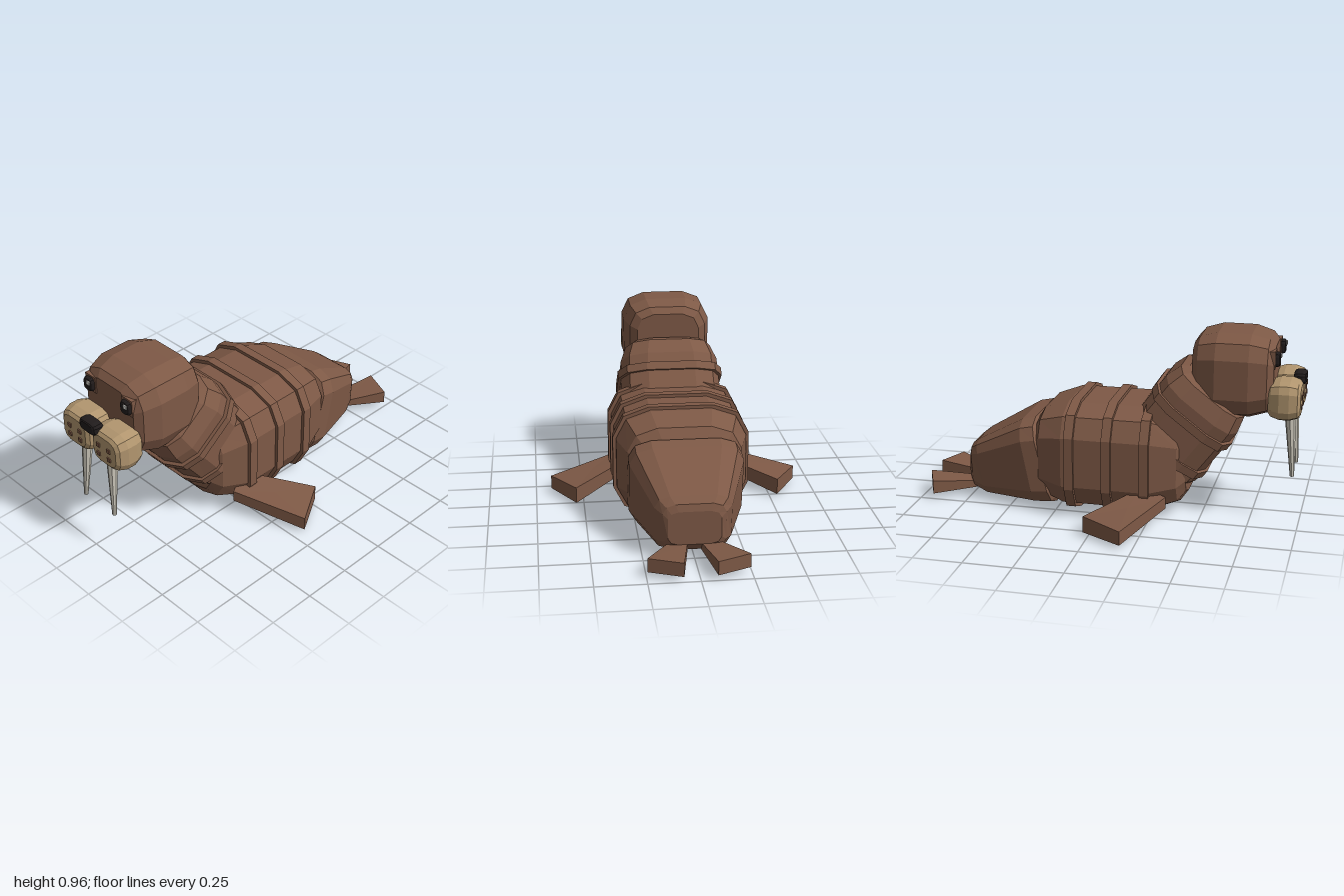
import * as THREE from 'three';

const mat = (name, color) => Object.assign(new THREE.MeshStandardMaterial({ color, flatShading: true }), { name });

// Triangle soup from closed rings running front to back, counterclockwise seen from the front
function skin(rings) {
  const pos = [];
  const tri = (...pts) => pts.forEach(p => pos.push(...p));
  const n = rings[0].length;
  const mid = r => [0, 1, 2].map(k => r.reduce((s, p) => s + p[k], 0) / n);
  const first = rings[0], last = rings[rings.length - 1];
  for (let i = 0; i < n; i++) {
    const j = (i + 1) % n;
    for (let k = 0; k < rings.length - 1; k++) {
      const a = rings[k], b = rings[k + 1];
      tri(a[i], b[i], a[j]);
      tri(a[j], b[i], b[j]);
    }
    tri(mid(first), first[i], first[j]);
    tri(mid(last), last[j], last[i]);
  }
  const g = new THREE.BufferGeometry();
  g.setAttribute('position', new THREE.Float32BufferAttribute(pos, 3));
  g.computeVertexNormals();
  return g;
}

// Bevelled rectangle sections: [z, centre y, half width, half height, lean]
function loft(sections, bevel = 0.53) {
  return skin(sections.map(([z, cy, w, h, lean = 0]) => {
    const ring = [];
    for (let q = 0; q < 4; q++) {
      for (const [u, v] of [[1, 1 - bevel], [1 - 0.3 * bevel, 1 - 0.3 * bevel], [1 - bevel, 1]]) {
        const [x, y] = [[u, v], [-v, u], [-u, -v], [v, -u]][q];
        ring.push([x * w, cy + y * h, z + lean * y * h]);
      }
    }
    return ring;
  }));
}

// Box rounded on every edge, d = half depth, e = end rounding
function pillow(w, h, d, e, bevel) {
  const s = [[d, 0.72], [d - e * 0.25, 0.88], [d - e, 1], [e - d, 1], [e * 0.25 - d, 0.88], [-d, 0.72]];
  return loft(s.map(([z, k]) => [z, 0, w * k, h * k]), bevel);
}

// Slab over four corners [x, z, bottom, top], mirrored by side
function slab(corners, side) {
  const c = side > 0 ? corners : [...corners].reverse();
  return skin([
    c.map(([x, z, , top]) => [x * side, top, z]),
    c.map(([x, z, low]) => [x * side, low, z]),
  ]);
}

export function createModel() {
  const root = new THREE.Group();
  root.name = 'walrus';
  const hide = mat('brown hide', 0x7e5946);
  const tan = mat('tan muzzle', 0xb2966f);
  const ivory = mat('ivory', 0xcfcabd);
  const black = mat('black', 0x211c1c);
  const white = mat('eye glint', 0xe8e6e0);

  const add = (name, geo, material, x = 0, y = 0, z = 0, parent = root) => {
    const m = new THREE.Mesh(geo, material);
    m.name = name;
    m.position.set(x, y, z);
    parent.add(m);
    return m;
  };

  // Trunk with three skin folds
  add('body', loft([
    [0.43, 0.295, 0.24, 0.17], [0.39, 0.295, 0.285, 0.225], [0.25, 0.295, 0.335, 0.275],
    [-0.2, 0.295, 0.335, 0.275], [-0.33, 0.295, 0.29, 0.23], [-0.37, 0.295, 0.24, 0.17],
  ]), hide);
  for (const z of [0.235, 0.04, -0.155]) {
    add('bodyFold', loft([[0.024, 0, 0.352, 0.292], [-0.024, 0, 0.352, 0.292]]), hide, 0, 0.295, z);
  }

  // Tapering hindquarters
  add('hindquarters', loft([
    [-0.29, 0.25, 0.25, 0.19, -0.24], [-0.32, 0.25, 0.288, 0.228, -0.24],
    [-0.4, 0.24, 0.288, 0.223, -0.2], [-0.68, 0.165, 0.19, 0.148, -0.2],
    [-0.74, 0.165, 0.155, 0.12, -0.05], [-0.757, 0.165, 0.13, 0.085],
  ], 0.4), hide);

  // Neck leaning up and forward, with two folds
  const neck = new THREE.Group();
  neck.name = 'neck';
  neck.position.set(0, 0.53, 0.44);
  neck.rotation.x = -0.92;
  root.add(neck);
  add('neckTrunk', loft([
    [0.19, 0, 0.2, 0.17], [0.165, 0, 0.235, 0.205], [0.08, 0, 0.265, 0.23],
    [-0.26, 0, 0.275, 0.23], [-0.34, 0, 0.24, 0.2],
  ]), hide, 0, 0, 0, neck);
  for (const z of [0, -0.2]) {
    add('neckFold', loft([[0.022, 0, 0.285, 0.245], [-0.022, 0, 0.285, 0.245]]), hide, 0, 0, z, neck);
  }

  // Head and nose
  add('head', pillow(0.235, 0.213, 0.204, 0.12), hide, 0, 0.755, 0.646);
  add('nose', pillow(0.062, 0.032, 0.031, 0.018), black, 0, 0.737, 0.969);

  for (const s of [1, -1]) {
    const side = s > 0 ? 'left' : 'right';

    // Muzzle pads, whisker spots and tusks
    add(side + 'MuzzlePad', pillow(0.113, 0.1, 0.08, 0.055), tan, s * 0.112, 0.652, 0.908);
    for (const x of [0.07, 0.145]) {
      for (const y of [0.67, 0.62]) {
        add(side + 'WhiskerSpot', new THREE.BoxGeometry(0.022, 0.022, 0.02), hide, s * x, y, 0.984);
      }
    }
    const tusk = add(side + 'Tusk', new THREE.CylinderGeometry(0.03, 0.011, 0.35, 8), ivory, s * 0.101, 0.415, 0.943);
    tusk.rotation.set(-0.07, 0, s * 0.05);

    // Eyes
    add(side + 'EyeSocket', new THREE.BoxGeometry(0.075, 0.09, 0.03), hide, s * 0.133, 0.855, 0.84);
    add(side + 'Eye', pillow(0.031, 0.036, 0.02, 0.012), black, s * 0.135, 0.855, 0.857);
    add(side + 'EyeGlint', new THREE.BoxGeometry(0.02, 0.02, 0.008), white, s * 0.135 + 0.012, 0.871, 0.878);

    // Flippers
    add(side + 'FrontFlipper', slab([
      [0.315, 0.345, 0.09, 0.15], [0.668, 0.185, 0.018, 0.09],
      [0.54, -0.03, 0.015, 0.1], [0.245, 0.21, 0.1, 0.165],
    ], s), hide);
    add(side + 'RearFlipper', slab([
      [0.025, -0.69, 0.045, 0.075], [0.105, -0.69, 0.045, 0.075],
      [0.245, -0.93, 0.03, 0.1], [0.08, -1, 0.03, 0.1],
    ], s), hide);
  }
  return root;
}
